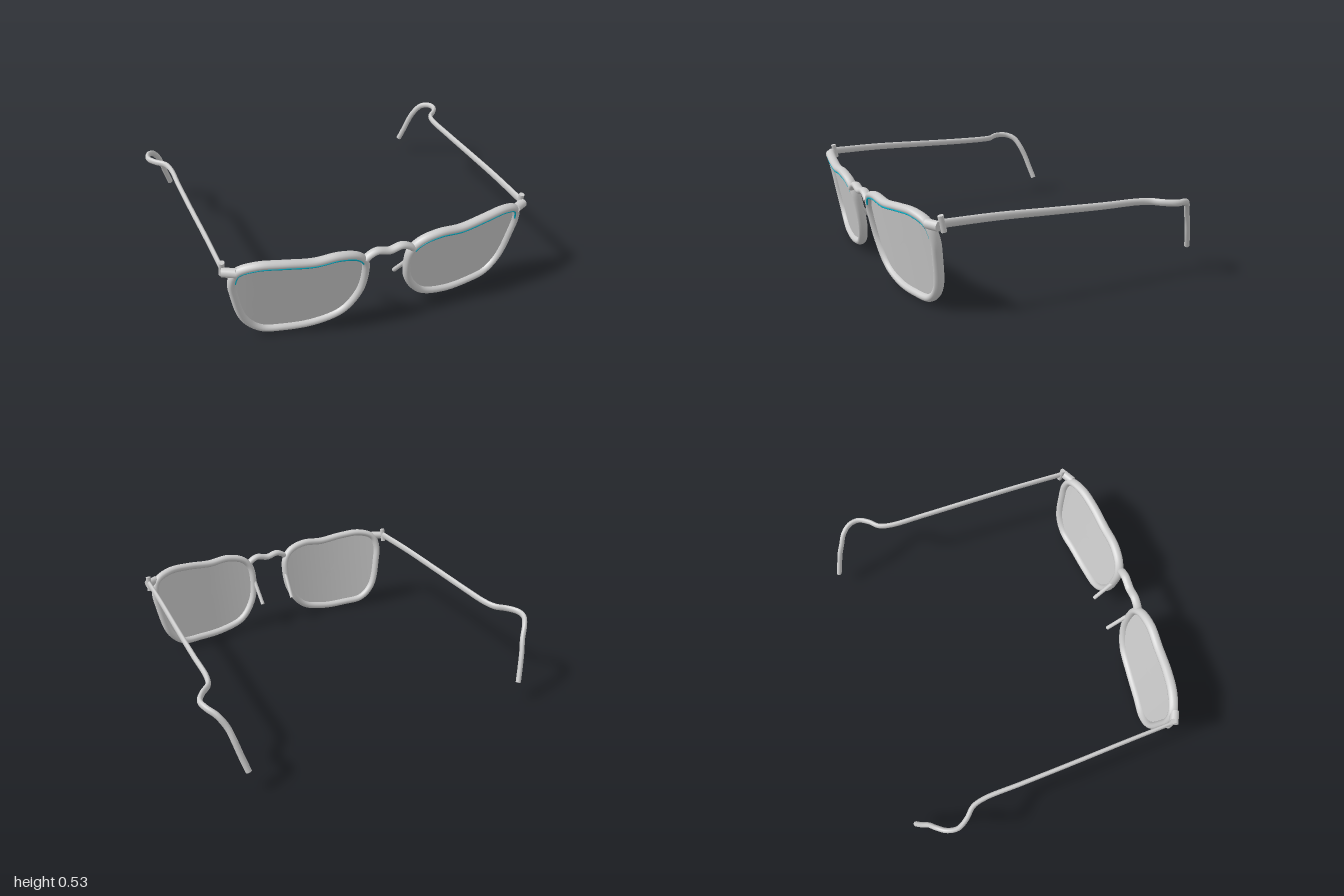
import * as THREE from 'three';

const grey = new THREE.MeshStandardMaterial({ color: 0xcccccc });
const lensGrey = new THREE.MeshStandardMaterial({ color: 0xcccccc, side: THREE.DoubleSide });
const teal = new THREE.MeshStandardMaterial({ color: 0x00b4cc });

const V = (x, y, z) => new THREE.Vector3(x, y, z);
const UP = V(0, 1, 0), FRONT = V(0, 0, 1);

// Curved, tilted surface that both lenses and rims lie on
const frontZ = (x, y) => 0.81 - 0.27 * (Math.abs(x) - 0.25) ** 2 - 0.19 * (0.5 - y);

function buildGeometry(pos, idx) {
  const g = new THREE.BufferGeometry();
  g.setAttribute('position', new THREE.Float32BufferAttribute(pos, 3));
  g.setIndex(idx);
  g.computeVertexNormals();
  return g;
}

// Sweeps an ellipse (half-width a(t), half-height b(t)) along a curve
function sweep(curve, ref, a, b, steps, closed = false, sides = 14) {
  const pos = [], idx = [];
  const rings = closed ? steps : steps + 1;
  for (let i = 0; i < rings; i++) {
    const t = i / steps, p = curve.getPointAt(t), T = curve.getTangentAt(t);
    const side = T.clone().cross(ref).normalize(), up = side.clone().cross(T);
    for (let j = 0; j < sides; j++) {
      const w = (j / sides) * Math.PI * 2;
      const q = p.clone().addScaledVector(side, a(t) * Math.cos(w)).addScaledVector(up, b(t) * Math.sin(w));
      pos.push(q.x, q.y, q.z);
    }
  }
  for (let i = 0; i < steps; i++) {
    for (let j = 0; j < sides; j++) {
      const k = (j + 1) % sides, n = (i + 1) % rings;
      const A = i * sides + j, B = n * sides + j, C = n * sides + k, D = i * sides + k;
      idx.push(A, B, D, B, C, D);
    }
  }
  // flat end caps on their own vertices
  if (!closed) {
    for (const r of [0, steps]) {
      const base = pos.length / 3;
      for (let j = 0; j < sides; j++) pos.push(...pos.slice((r * sides + j) * 3, (r * sides + j) * 3 + 3));
      for (let j = 1; j < sides - 1; j++) {
        if (r) idx.push(base, base + j + 1, base + j);
        else idx.push(base, base + j, base + j + 1);
      }
    }
  }
  return buildGeometry(pos, idx);
}

function add(group, name, geometry, material = grey) {
  const m = new THREE.Mesh(geometry, material);
  m.name = name;
  group.add(m);
  return m;
}

// Straight cylinder between two points
function rod(group, name, from, to, radius) {
  const d = to.clone().sub(from);
  const m = add(group, name, new THREE.CylinderGeometry(radius, radius, d.length(), 16));
  m.position.copy(from).addScaledVector(d, 0.5);
  m.quaternion.setFromUnitVectors(UP, d.normalize());
}

// Rim centre line, from the bottom edge outwards and round
const OUTLINE = [
  [0.38, 0.026], [0.55, 0.025], [0.67, 0.042], [0.752, 0.125], [0.799, 0.31], [0.808, 0.4],
  [0.782, 0.473], [0.69, 0.506], [0.56, 0.5], [0.41, 0.482], [0.28, 0.489], [0.18, 0.461],
  [0.133, 0.41], [0.121, 0.33], [0.143, 0.19], [0.232, 0.07],
];

// Temple arm path, from the hinge to the tip of the ear hook
const TEMPLE = [
  [0.845, 0.485, 0.69], [0.855, 0.48, 0.4], [0.866, 0.465, 0.1], [0.875, 0.45, -0.2],
  [0.882, 0.443, -0.42], [0.902, 0.441, -0.49], [0.95, 0.44, -0.54], [0.984, 0.438, -0.6],
  [0.975, 0.434, -0.66], [0.94, 0.41, -0.71], [0.905, 0.35, -0.745], [0.885, 0.28, -0.775],
  [0.865, 0.2, -0.8], [0.842, 0.118, -0.826],
];

function lensGeometry(curve, s) {
  const pos = [], idx = [], rings = 8, n = 80;
  const cx = 0.465 * s, cy = 0.265;
  for (let r = 0; r <= rings; r++) {
    for (let i = 0; i < n; i++) {
      const p = curve.getPointAt(i / n), k = r / rings;
      const x = cx + (p.x - cx) * k, y = cy + (p.y - cy) * k;
      pos.push(x, y, frontZ(x, y));
    }
  }
  for (let r = 0; r < rings; r++) {
    for (let i = 0; i < n; i++) {
      const k = (i + 1) % n, A = r * n + i, B = A + n, C = (r + 1) * n + k, D = r * n + k;
      if (s > 0) idx.push(A, B, C, A, C, D);
      else idx.push(A, C, B, A, D, C);
    }
  }
  return buildGeometry(pos, idx);
}

function buildSide(s) {
  const g = new THREE.Group();
  g.name = s > 0 ? 'leftSide' : 'rightSide';

  // rim and lens
  const rim = new THREE.CatmullRomCurve3(OUTLINE.map(([x, y]) => V(x * s, y, frontZ(x, y))), true);
  add(g, 'rim', sweep(rim, FRONT, () => 0.021, () => 0.027, 120, true));
  add(g, 'lens', lensGeometry(rim, s), lensGrey);

  // coloured trim line along the inner front of the upper rim
  const trim = [];
  for (let i = 0; i < 120; i++) {
    const p = rim.getPointAt(i / 120), T = rim.getTangentAt(i / 120);
    if (p.y > 0.4) trim.push(V(p.x - T.y * s * 0.014, p.y + T.x * s * 0.014, p.z + 0.02));
  }
  add(g, 'trimLine', new THREE.TubeGeometry(new THREE.CatmullRomCurve3(trim), 80, 0.005, 6), teal);

  // nose rest
  rod(g, 'noseRest', V(0.117 * s, 0.33, 0.775), V(0.108 * s, 0.18, 0.65), 0.012);

  // hinge block and pin
  rod(g, 'hingeBlock', V(0.785 * s, 0.475, 0.737), V(0.85 * s, 0.475, 0.704), 0.025);
  rod(g, 'hingePin', V(0.846 * s, 0.443, 0.677), V(0.844 * s, 0.525, 0.693), 0.015);

  // temple arm with ear hook
  const path = new THREE.CatmullRomCurve3(TEMPLE.map(([x, y, z]) => V(x * s, y, z)));
  add(g, 'temple', sweep(path, UP, (t) => 0.011 + 0.004 * t, (t) => 0.022 - 0.005 * t, 120));
  return g;
}

export function createModel() {
  const model = new THREE.Group();
  model.name = 'eyeglasses';
  model.add(buildSide(1), buildSide(-1));

  // wavy bridge
  const bridge = new THREE.CatmullRomCurve3(
    [[-0.135, 0.425], [-0.11, 0.445], [-0.07, 0.46], [0, 0.445], [0.07, 0.46], [0.11, 0.445], [0.135, 0.425]]
      .map(([x, y]) => V(x, y, 0.8)));
  add(model, 'bridge', sweep(bridge, FRONT, () => 0.018, () => 0.025, 40));
  return model;
}
